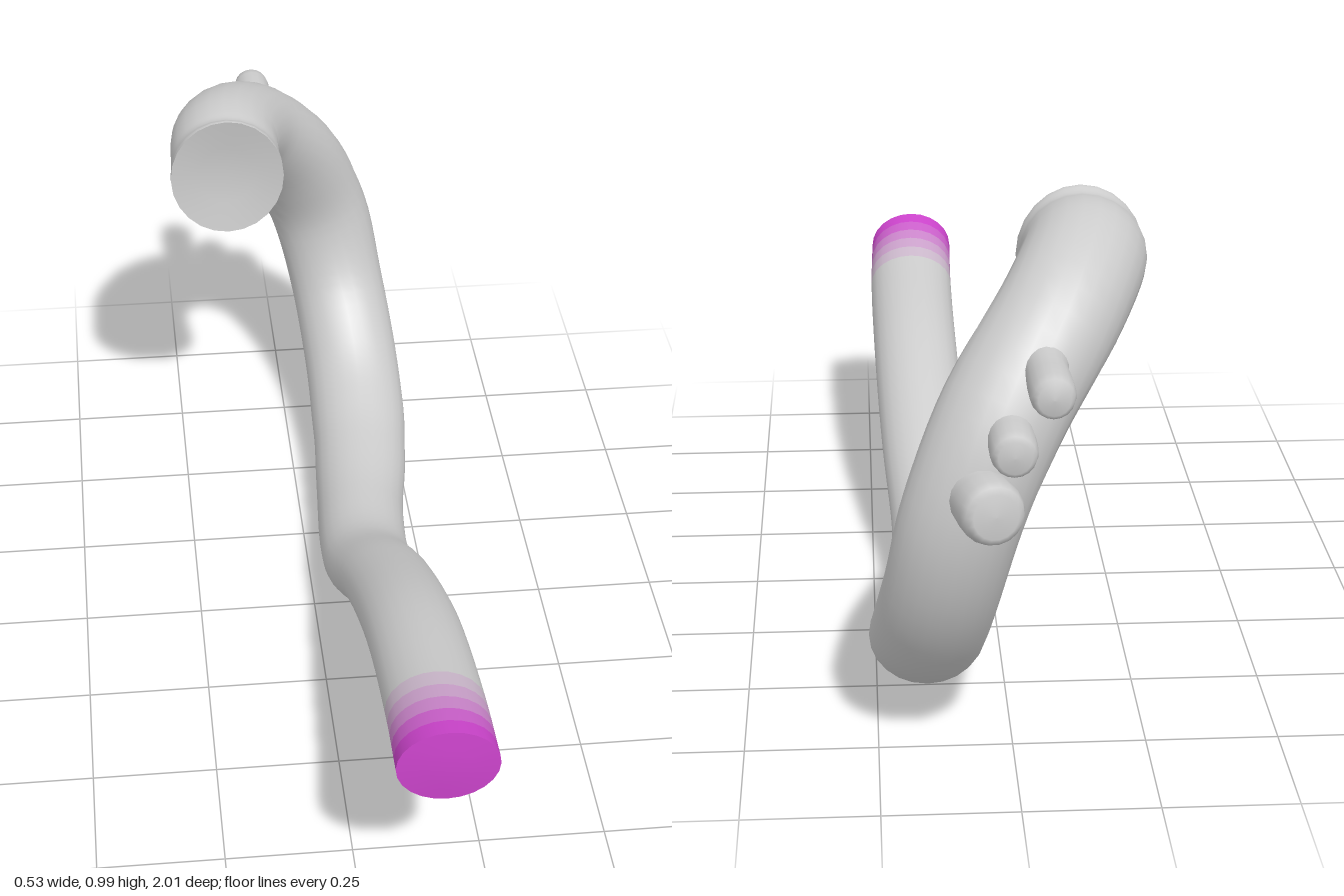
import * as THREE from 'three';

const SIDES = 24;
const STEPS = 5; // rings per path segment

// Vessel path: x, y, z, half-width, half-height
const PATH = [
  [0.14, 0.45, 0.995, 0.095, 0.08],
  [0.145, 0.412, 0.8, 0.095, 0.077],
  [0.143, 0.348, 0.5, 0.094, 0.077],
  [0.132, 0.225, 0.2, 0.093, 0.074],
  [0.115, 0.122, 0, 0.095, 0.076],
  [0.124, 0.09, -0.2, 0.096, 0.085],
  [0.146, 0.105, -0.4, 0.104, 0.086],
  [0.155, 0.138, -0.54, 0.109, 0.094],
  [0.152, 0.21, -0.67, 0.109, 0.097],
  [0.131, 0.345, -0.783, 0.108, 0.093],
  [0.092, 0.52, -0.828, 0.112, 0.093],
  [0.02, 0.685, -0.789, 0.115, 0.1],
  [-0.085, 0.825, -0.675, 0.115, 0.105],
  [-0.142, 0.882, -0.53, 0.116, 0.107],
  [-0.146, 0.872, -0.46, 0.117, 0.112],
  [-0.146, 0.857, -0.41, 0.121, 0.134],
];

const grey = () => new THREE.MeshStandardMaterial({ color: 0xcccccc });

function add(group, name, geometry, material) {
  const mesh = new THREE.Mesh(geometry, material);
  mesh.name = name;
  group.add(mesh);
  return mesh;
}

// Elliptical rings along the path; the two ends turn square to z
function makeRings() {
  const curve = new THREE.CatmullRomCurve3(PATH.map((p) => new THREE.Vector3(p[0], p[1], p[2])));
  const radii = PATH.map((p) => new THREE.Vector2(p[3], p[4]));
  const segments = PATH.length - 1;
  const count = segments * STEPS;
  const rings = [];
  for (let i = 0; i <= count; i++) {
    const s = i / STEPS;
    const k = Math.min(Math.floor(s), segments - 1);
    const size = radii[k].clone().lerp(radii[k + 1], THREE.MathUtils.smoothstep(s - k, 0, 1));
    const centre = curve.getPoint(i / count);
    const tangent = curve.getTangent(i / count);
    const square = new THREE.Vector3(0, 0, s < 2 ? -1 : 1);
    tangent.lerp(square, Math.max(0, 1 - s, 1 - (segments - s) / 2)).normalize();
    const side = new THREE.Vector3(1, 0, 0).addScaledVector(tangent, -tangent.x).normalize();
    const up = tangent.clone().cross(side);
    const ring = [];
    for (let j = 0; j < SIDES; j++) {
      const a = (j / SIDES) * Math.PI * 2;
      ring.push(centre.clone()
        .addScaledVector(side, Math.cos(a) * size.x)
        .addScaledVector(up, Math.sin(a) * size.y));
    }
    rings.push(ring);
  }
  return rings;
}

// Triangles for the rings from first to last
function bandIndex(first, last) {
  const index = [];
  for (let i = first; i < last; i++) {
    for (let j = 0; j < SIDES; j++) {
      const n = (j + 1) % SIDES;
      const a = i * SIDES + j, b = i * SIDES + n;
      index.push(a, b, a + SIDES, b, b + SIDES, a + SIDES);
    }
  }
  return index;
}

// End face with a slightly raised or sunken centre
function capGeometry(ring, bulge, flip) {
  const centre = new THREE.Vector3();
  ring.forEach((p) => centre.addScaledVector(p, 1 / ring.length));
  const points = [centre.clone().add(new THREE.Vector3(0, 0, bulge))];
  for (const f of [0.5, 1]) {
    for (const p of ring) {
      const q = centre.clone().lerp(p, f);
      q.z += bulge * (1 - f * f);
      points.push(q);
    }
  }
  const index = [];
  const tri = (a, b, c) => (flip ? index.push(a, c, b) : index.push(a, b, c));
  for (let j = 0; j < SIDES; j++) {
    const a = 1 + j, b = 1 + ((j + 1) % SIDES);
    tri(0, a, b);
    tri(a, a + SIDES, b);
    tri(b, a + SIDES, b + SIDES);
  }
  const geometry = new THREE.BufferGeometry().setFromPoints(points);
  geometry.setIndex(index);
  geometry.computeVertexNormals();
  return geometry;
}

// Short rounded stub from one point to another
function branchGeometry(from, to, radius) {
  const dir = to.clone().sub(from);
  const h = dir.length();
  const profile = [
    [radius * 1.15, 0], [radius * 0.95, h * 0.35], [radius, h * 0.6], [radius, h * 0.85],
    [radius * 0.9, h * 0.95], [radius * 0.7, h * 0.99], [0, h],
  ].map(([x, y]) => new THREE.Vector2(x, y));
  const geometry = new THREE.LatheGeometry(profile, 18);
  geometry.applyQuaternion(new THREE.Quaternion().setFromUnitVectors(
    new THREE.Vector3(0, 1, 0), dir.normalize()));
  return geometry.translate(from.x, from.y, from.z);
}

export function createModel() {
  const group = new THREE.Group();
  group.name = 'archedVessel';

  // Main tube: one smooth surface, shared by the grey body and tinted bands
  const rings = makeRings();
  const tube = new THREE.BufferGeometry().setFromPoints(rings.flat());
  tube.setIndex(bandIndex(0, rings.length - 1));
  tube.computeVertexNormals();
  const slice = (first, last) => {
    const part = new THREE.BufferGeometry();
    part.setAttribute('position', tube.attributes.position);
    part.setAttribute('normal', tube.attributes.normal);
    part.setIndex(bandIndex(first, last));
    return part;
  };
  add(group, 'vesselBody', slice(STEPS, rings.length - 1), grey());

  // Tip fading from magenta to grey
  const magenta = new THREE.Color(0xcc44cc);
  for (let i = 0; i < STEPS; i++) {
    const material = grey();
    material.color.lerpColors(magenta, new THREE.Color(0xcccccc), Math.max(0, (i - 0.5) / (STEPS - 0.5)));
    add(group, `tintedTipBand${i + 1}`, slice(i, i + 1), material);
  }

  // End faces
  const tipMaterial = grey();
  tipMaterial.color.copy(magenta);
  add(group, 'tintedEndFace', capGeometry(rings[0], 0.004, true), tipMaterial);
  add(group, 'archEndFace', capGeometry(rings[rings.length - 1], -0.015, false), grey());

  // Three branch stubs at the back of the arch
  const branches = [
    ['upperBranch', [-0.05, 0.775, -0.78], [-0.053, 0.778, -0.99], 0.04],
    ['middleBranch', [0.015, 0.675, -0.8], [0.012, 0.672, -0.983], 0.042],
    ['lowerBranch', [0.085, 0.56, -0.82], [0.045, 0.572, -1.0], 0.058],
  ];
  for (const [name, from, to, radius] of branches) {
    add(group, name, branchGeometry(new THREE.Vector3(...from), new THREE.Vector3(...to), radius), grey());
  }
  return group;
}
